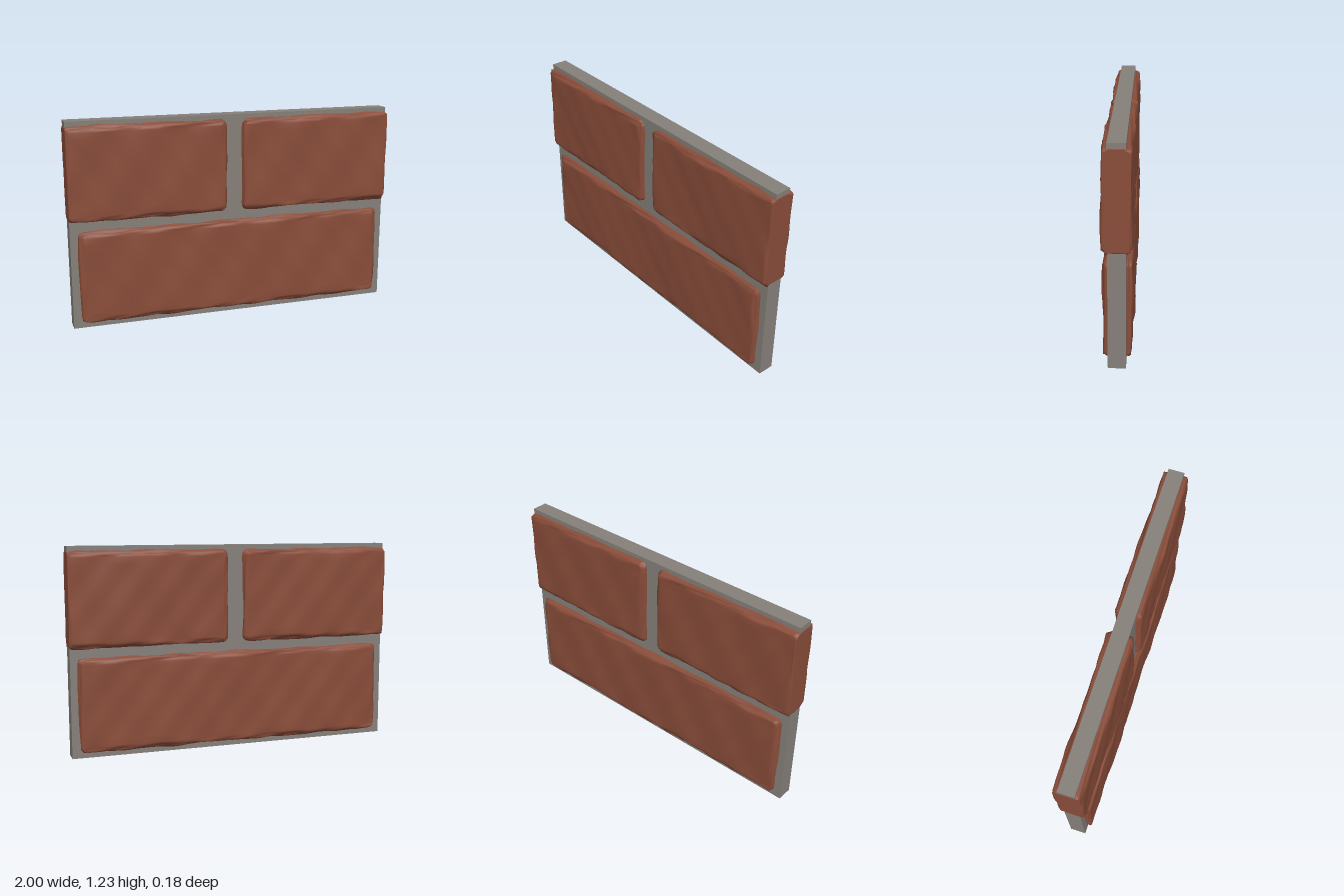
import * as THREE from 'three';
import { mergeVertices } from 'three/addons/utils/BufferGeometryUtils.js';

const EDGE = 3; // segments across each rounded edge

// Gentle hand-made unevenness
function wobble(x, y, z, seed) {
  return 0.004 * Math.sin(7 * x + 5 * y + 9 * z + seed)
    + 0.003 * Math.sin(17 * x - 11 * y + 20 * z + seed * 2.3)
    + 0.002 * Math.sin(29 * x + 23 * y - 13 * z + seed * 3.7);
}

// Rounded box with a fine grid, pushed in and out along its normals
function brickGeometry(x0, x1, y0, y1, depth, seed) {
  const half = [(x1 - x0) / 2, (y1 - y0) / 2, depth / 2];
  const mid = [(x0 + x1) / 2, (y0 + y1) / 2, 0];
  const segs = [Math.round((x1 - x0) / 0.045) + 2 * EDGE, 12 + 2 * EDGE, 2 + 2 * EDGE];
  const r = 0.038;
  let geo = new THREE.BoxGeometry(2, 2, 2, ...segs);
  geo.deleteAttribute('uv');
  geo.deleteAttribute('normal');
  geo = mergeVertices(geo);
  const pos = geo.attributes.position;
  for (let i = 0; i < pos.count; i++) {
    const inner = new THREE.Vector3(), dir = new THREE.Vector3();
    for (let a = 0; a < 3; a++) {
      const n = segs[a], core = half[a] - r;
      const k = Math.round((pos.getComponent(i, a) + 1) / 2 * n);
      const low = Math.max(0, EDGE - k), high = Math.max(0, k - (n - EDGE));
      const t = (Math.min(Math.max(k, EDGE), n - EDGE) - EDGE) / (n - 2 * EDGE);
      inner.setComponent(a, core * (2 * t - 1));
      dir.setComponent(a, (high - low) / EDGE);
    }
    dir.normalize();
    inner.add(new THREE.Vector3(...mid));
    const p = inner.clone().addScaledVector(dir, r + wobble(inner.x, inner.y, dir.z, seed));
    // cut flush with the wall ends
    pos.setXYZ(i, THREE.MathUtils.clamp(p.x, -1, 1), p.y, p.z);
  }
  geo.computeVertexNormals();
  return geo;
}

export function createModel() {
  const group = new THREE.Group();
  const clay = new THREE.MeshStandardMaterial({ color: 0x8a4d3a });
  clay.name = 'red clay';
  const grey = new THREE.MeshStandardMaterial({ color: 0x86807a });
  grey.name = 'grey mortar';

  // Mortar slab
  const mortar = new THREE.Mesh(new THREE.BoxGeometry(1.996, 1.23, 0.096), grey);
  mortar.name = 'mortar';
  mortar.position.y = 0.615;
  group.add(mortar);

  // Bricks run through the wall; the upper pair ends flush with its sides
  const bricks = [
    ['lowerBrick', -0.955, 0.955, 0.03, 0.59, 1],
    ['upperRightBrick', -1.015, -0.05, 0.645, 1.205, 4],
    ['upperLeftBrick', 0.045, 1.015, 0.645, 1.205, 8],
  ];
  for (const [name, x0, x1, y0, y1, seed] of bricks) {
    const brick = new THREE.Mesh(brickGeometry(x0, x1, y0, y1, 0.158, seed), clay);
    brick.name = name;
    group.add(brick);
  }
  return group;
}
